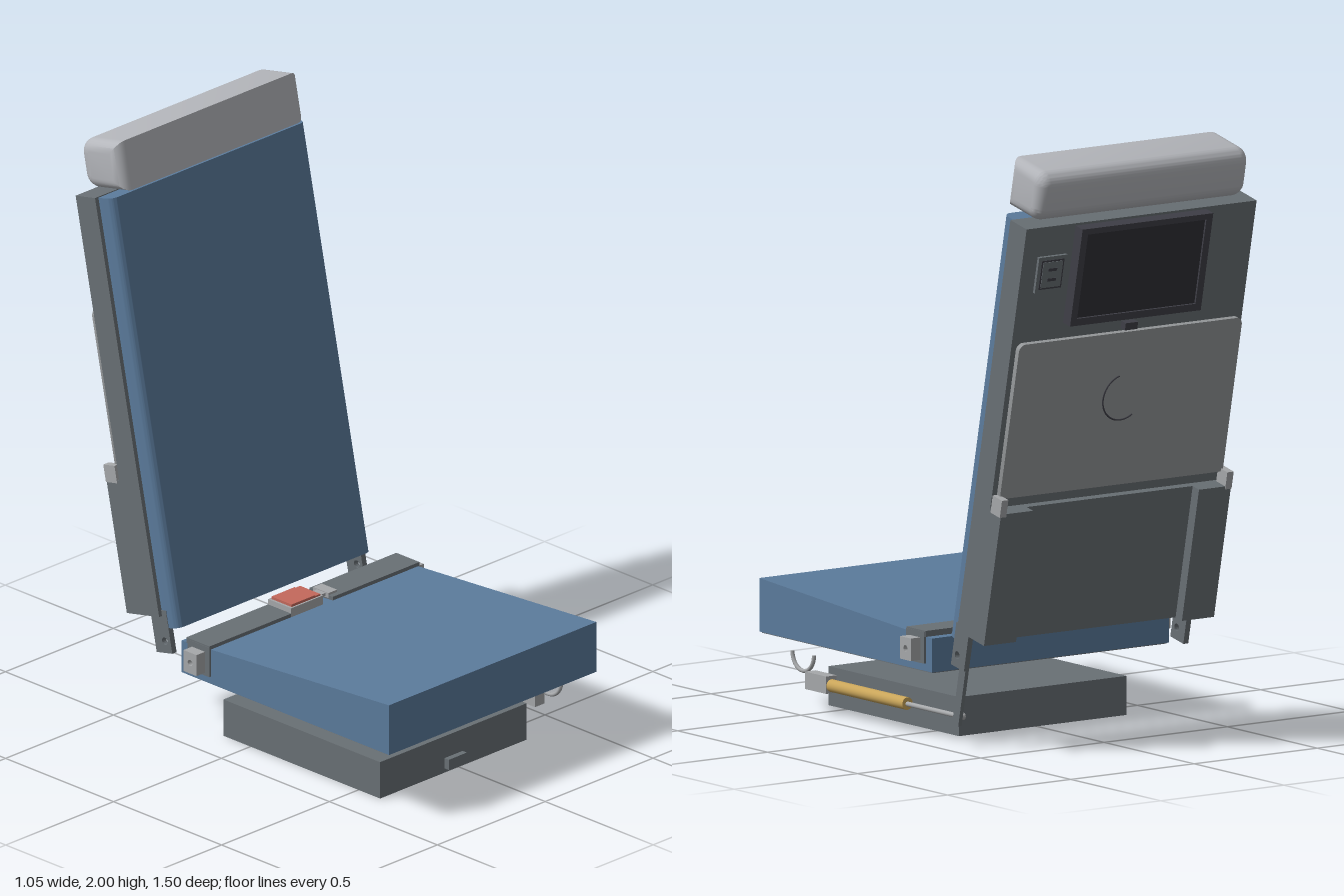
import * as THREE from 'three';
import { toCreasedNormals } from 'three/addons/utils/BufferGeometryUtils.js';

const mat = (name, color) => {
  const m = new THREE.MeshStandardMaterial({ color });
  m.name = name;
  return m;
};

export function createModel() {
  const blue = mat('blue upholstery', 0x5b7b9c);
  const grey = mat('frame grey', 0x697075);
  const pale = mat('headrest grey', 0xb4b6bb);
  const trayGrey = mat('tray grey', 0x95989a);
  const metal = mat('light metal', 0xa6a8aa);
  const dark = mat('screen casing', 0x3f3f47);
  const black = mat('screen glass', 0x303036);
  const gold = mat('gold cylinder', 0xc9a55a);
  const red = mat('red button', 0xc4695c);
  const beige = mat('beige strip', 0xcfc7a8);

  const model = new THREE.Group();
  model.name = 'recliningSeat';

  const add = (parent, name, geo, m) => {
    const mesh = new THREE.Mesh(geo, m);
    mesh.name = name;
    parent.add(mesh);
    return mesh;
  };
  // Box given by its limits on each axis
  const box = (parent, name, m, x0, x1, y0, y1, z0, z1) => {
    const mesh = add(parent, name, new THREE.BoxGeometry(x1 - x0, y1 - y0, Math.abs(z1 - z0)), m);
    mesh.position.set((x0 + x1) / 2, (y0 + y1) / 2, (z0 + z1) / 2);
    return mesh;
  };
  // Cylinder lying along z
  const rodZ = (parent, name, m, r, x, y, z0, z1) => {
    const geo = new THREE.CylinderGeometry(r, r, Math.abs(z1 - z0), 24).rotateX(Math.PI / 2);
    add(parent, name, geo, m).position.set(x, y, (z0 + z1) / 2);
  };
  // Rectangle with separate corner radii for the low-y and high-y corners
  const roundRect = (x0, x1, y0, y1, rLow, rHigh) => {
    const s = new THREE.Shape();
    s.moveTo(x0 + rLow, y0);
    s.lineTo(x1 - rLow, y0);
    if (rLow) s.absarc(x1 - rLow, y0 + rLow, rLow, -Math.PI / 2, 0);
    s.lineTo(x1, y1 - rHigh);
    if (rHigh) s.absarc(x1 - rHigh, y1 - rHigh, rHigh, 0, Math.PI / 2);
    s.lineTo(x0 + rHigh, y1);
    if (rHigh) s.absarc(x0 + rHigh, y1 - rHigh, rHigh, Math.PI / 2, Math.PI);
    s.lineTo(x0, y0 + rLow);
    if (rLow) s.absarc(x0 + rLow, y0 + rLow, rLow, Math.PI, Math.PI * 1.5);
    return s;
  };
  const extrude = (shape, depth, opts = {}) =>
    new THREE.ExtrudeGeometry(shape, { depth, bevelEnabled: false, curveSegments: 8, ...opts });

  // Base box with its front plug
  const base = new THREE.Group();
  base.name = 'base';
  model.add(base);
  box(base, 'baseBox', grey, -0.365, 0.315, 0, 0.13, -0.125, 0.6);
  box(base, 'basePlug', grey, -0.066, 0.018, 0.015, 0.052, 0.6, 0.62);

  // Seat cushion: side profile drawn in z and y, extruded along x
  const seat = new THREE.Group();
  seat.name = 'seat';
  model.add(seat);
  const profile = new THREE.Shape();
  [[0.757, 0.24], [0.757, 0.418], [-0.07, 0.362], [-0.203, 0.353], [-0.203, 0.24]]
    .forEach(([z, y], i) => (i ? profile.lineTo(z, y) : profile.moveTo(z, y)));
  add(seat, 'seatCushion', extrude(profile, 0.962).translate(0, 0, -0.481).rotateY(-Math.PI / 2), blue);
  box(seat, 'seatUnderside', grey, -0.475, 0.475, 0.236, 0.24, -0.195, 0.75);

  // Lap belt, anchors and buckle
  const belt = new THREE.Group();
  belt.name = 'lapBelt';
  model.add(belt);
  box(belt, 'beltRight', grey, -0.487, -0.105, 0.355, 0.375, -0.175, -0.068);
  box(belt, 'beltLeft', grey, 0.085, 0.487, 0.355, 0.375, -0.175, -0.068);
  for (const s of [-1, 1]) {
    box(belt, 'beltSide', grey, s * 0.484 - 0.004, s * 0.484 + 0.004, 0.265, 0.37, -0.168, -0.068);
    const anchor = roundRect(-0.03, 0.03, 0.275, 0.35, 0, 0);
    const eye = new THREE.Path();
    eye.absarc(0, 0.313, 0.011, 0, Math.PI * 2, true);
    anchor.holes.push(eye);
    add(belt, 'beltAnchor', extrude(anchor, 0.042).translate(0, 0, -0.021).rotateY(-Math.PI / 2), metal)
      .position.set(s * 0.506, 0, -0.118);
  }
  box(belt, 'buckle', metal, -0.108, 0.04, 0.358, 0.394, -0.175, -0.068);
  box(belt, 'buckleButton', red, -0.1, 0.008, 0.394, 0.403, -0.168, -0.074);
  box(belt, 'buckleButtonEdge', red, 0.009, 0.033, 0.394, 0.4, -0.168, -0.074);
  box(belt, 'tongueNeck', metal, 0.04, 0.088, 0.37, 0.38, -0.14, -0.1);
  box(belt, 'tonguePlate', metal, 0.084, 0.124, 0.365, 0.383, -0.158, -0.087);

  // Backrest group, leaning back; local z runs backwards as negative values
  const back = new THREE.Group();
  back.name = 'backrest';
  back.position.set(0, 0.37, -0.25);
  back.rotation.x = -0.208;
  model.add(back);
  add(back, 'backCushion', toCreasedNormals(
    extrude(roundRect(-0.453, 0.45, 0, 0.064, 0.03, 0), 1.475).rotateX(-Math.PI / 2), 0.6), blue);
  box(back, 'backShell', grey, -0.468, 0.465, 0.04, 1.478, -0.155, -0.063);

  // Headrest: rounded front, softened ends
  add(back, 'headrest', toCreasedNormals(
    extrude(roundRect(-0.085, 0.085, -0.0925, 0.0925, 0, 0.05), 0.77, {
      bevelEnabled: true, bevelSize: 0.04, bevelThickness: 0.04, bevelOffset: -0.04, bevelSegments: 6,
    }).translate(0, 0, -0.385).rotateZ(Math.PI / 2).rotateY(-Math.PI / 2).rotateZ(0), 0.7), pale)
    .position.set(0, 1.575, -0.0625);

  // Storage pocket below the tray
  for (const s of [-1, 1]) {
    const x0 = s < 0 ? -0.468 : 0.335;
    box(back, 'pocketRib', grey, x0, x0 + 0.13, 0.04, 0.5, -0.216, -0.155);
  }
  box(back, 'pocketPanel', grey, -0.338, 0.335, 0.04, 0.5, -0.18, -0.155);
  box(back, 'bottomStrip', beige, -0.4, 0.4, 0.034, 0.04, -0.135, -0.095);

  // Folding tray with cup ring, side hinges and latch
  add(back, 'tray', toCreasedNormals(
    extrude(roundRect(-0.452, 0.452, 0.54, 1.08, 0.015, 0.025), 0.018), 0.6), trayGrey)
    .position.z = -0.182;
  const ring = add(back, 'cupRing', new THREE.TorusGeometry(0.08, 0.003, 6, 32, Math.PI * 1.1), dark);
  ring.position.set(0, 0.85, -0.182);
  ring.rotation.z = -Math.PI * 0.7;
  for (const s of [-1, 1]) {
    box(back, 'trayHinge', metal, s * 0.457 - 0.013, s * 0.457 + 0.013, 0.49, 0.55, -0.218, -0.165);
  }
  box(back, 'trayLatch', dark, -0.025, 0.025, 1.085, 1.11, -0.18, -0.15);

  // Screen: casing, raised rim and glass
  box(back, 'screenCasing', dark, -0.265, 0.265, 1.13, 1.47, -0.185, -0.15);
  const rim = roundRect(-0.265, 0.265, 1.13, 1.47, 0, 0);
  rim.holes.push(roundRect(-0.24, 0.24, 1.155, 1.45, 0, 0));
  add(back, 'screenRim', extrude(rim, 0.01), dark).position.z = -0.195;
  box(back, 'screenGlass', black, -0.24, 0.24, 1.155, 1.45, -0.188, -0.185);

  // Socket panel beside the screen
  box(back, 'socketPanel', grey, 0.29, 0.405, 1.25, 1.375, -0.165, -0.155);
  box(back, 'socketFace', dark, 0.302, 0.393, 1.262, 1.363, -0.167, -0.165);
  box(back, 'socketInset', grey, 0.308, 0.387, 1.268, 1.357, -0.169, -0.167);
  for (const y of [1.295, 1.33]) box(back, 'socketSlot', dark, 0.33, 0.365, y - 0.005, y + 0.005, -0.171, -0.169);

  // Pivot lugs with holes, and the recline lever on the left
  const lug = roundRect(-0.115, -0.041, -0.088, 0.06, 0, 0);
  const hole = new THREE.Path();
  hole.absarc(-0.068, -0.047, 0.013, 0, Math.PI * 2, true);
  lug.holes.push(hole);
  for (const s of [-1, 1]) {
    add(back, 'pivotLug', extrude(lug, 0.02).translate(0, 0, -0.01).rotateY(-Math.PI / 2), grey)
      .position.x = s * 0.445;
  }
  box(back, 'reclineLever', grey, 0.435, 0.449, -0.28, -0.088, -0.115, -0.081);

  // Gas spring: rod, cylinder, end block and hook
  const spring = new THREE.Group();
  spring.name = 'gasSpring';
  model.add(spring);
  rodZ(spring, 'springRod', metal, 0.008, 0.423, 0.099, 0.02, -0.285);
  rodZ(spring, 'springCylinder', gold, 0.021, 0.423, 0.1, 0.44, 0.013);
  box(spring, 'springBlock', metal, 0.402, 0.445, 0.074, 0.132, 0.435, 0.552);
  const pin = add(spring, 'springPin', new THREE.CylinderGeometry(0.012, 0.012, 0.035, 16).rotateZ(Math.PI / 2), metal);
  pin.position.set(0.43, 0.099, -0.285);
  const hook = add(spring, 'springHook',
    new THREE.TorusGeometry(0.06, 0.007, 8, 24, Math.PI).rotateZ(Math.PI).rotateY(Math.PI / 2), metal);
  hook.position.set(0.425, 0.187, 0.59);

  return model;
}
